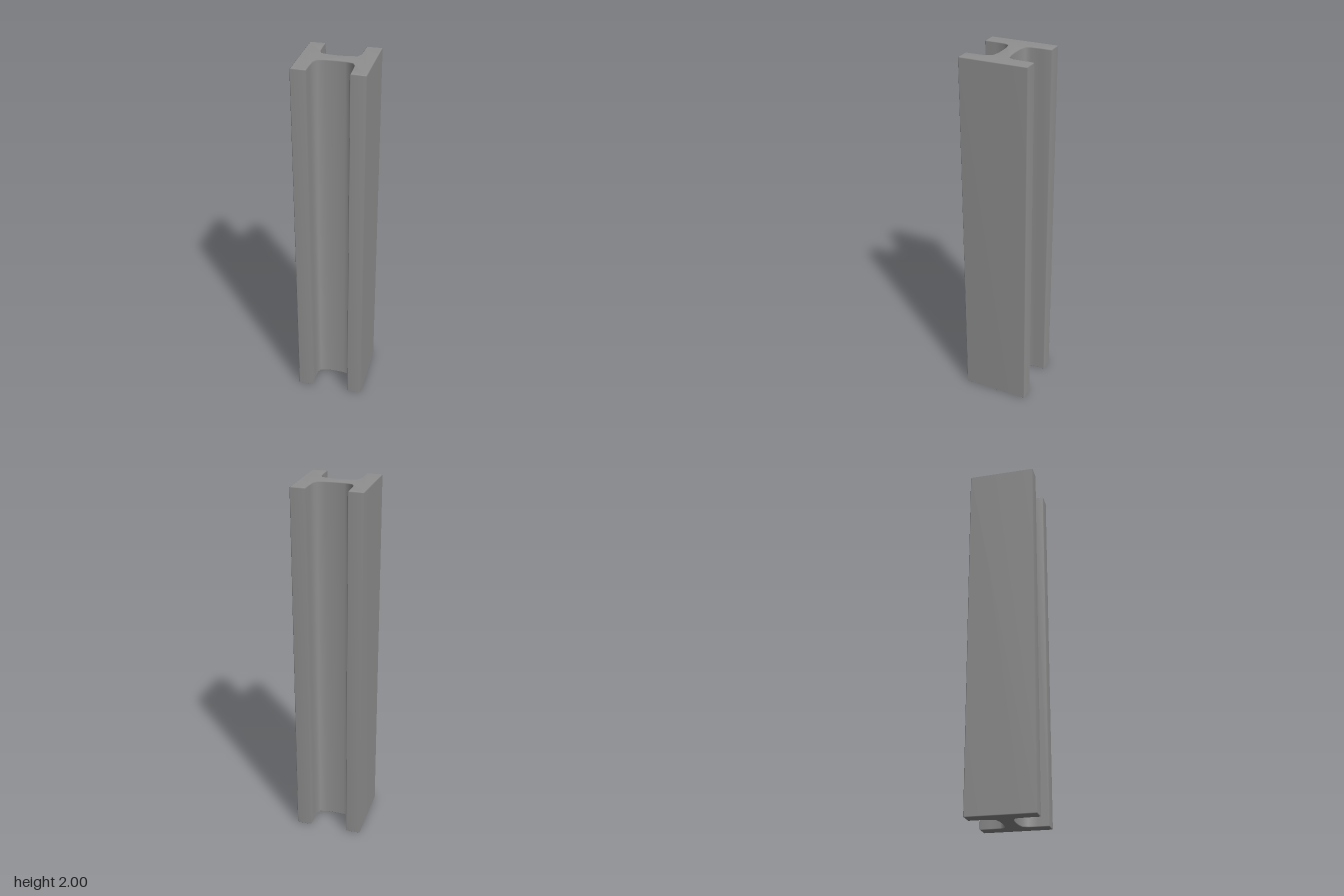
import * as THREE from 'three';
import { mergeVertices } from 'three/addons/utils/BufferGeometryUtils.js';

export function createModel() {
  const steel = new THREE.MeshStandardMaterial({ color: 0x909090 });
  steel.name = 'steel grey';

  // One quarter of the H section, from the web centre out to the flange side
  const quarter = [
    [0, 0.037], [0.05, 0.039], [0.089, 0.048], [0.102, 0.073], [0.105, 0.125],
    [0.105, 0.181], [0.109, 0.185], [0.184, 0.185], [0.188, 0.181],
  ];
  const mirrored = (sx, sy) => quarter.map(([x, y]) => new THREE.Vector2(x * sx, y * sy));
  const outline = [
    ...mirrored(1, 1),
    ...mirrored(1, -1).reverse(),
    ...mirrored(-1, -1).slice(1),
    ...mirrored(-1, 1).reverse().slice(0, -1),
  ];

  // Upright extrusion with finely chamfered ends
  const bevel = 0.004;
  const extruded = new THREE.ExtrudeGeometry(new THREE.Shape(outline), {
    depth: 2 - 2 * bevel,
    bevelEnabled: true,
    bevelThickness: bevel,
    bevelSize: bevel,
    bevelOffset: -bevel,
    bevelSegments: 1,
  });
  extruded.translate(0, 0, bevel);
  extruded.rotateX(-Math.PI / 2);

  // Shared vertices: smooth channels, softly rounded edges
  extruded.deleteAttribute('normal');
  extruded.deleteAttribute('uv');
  extruded.clearGroups();
  const geometry = mergeVertices(extruded, 1e-5);
  geometry.computeVertexNormals();

  const beam = new THREE.Mesh(geometry, steel);
  beam.name = 'hBeam';

  const model = new THREE.Group();
  model.name = 'steelBeam';
  model.add(beam);
  return model;
}
